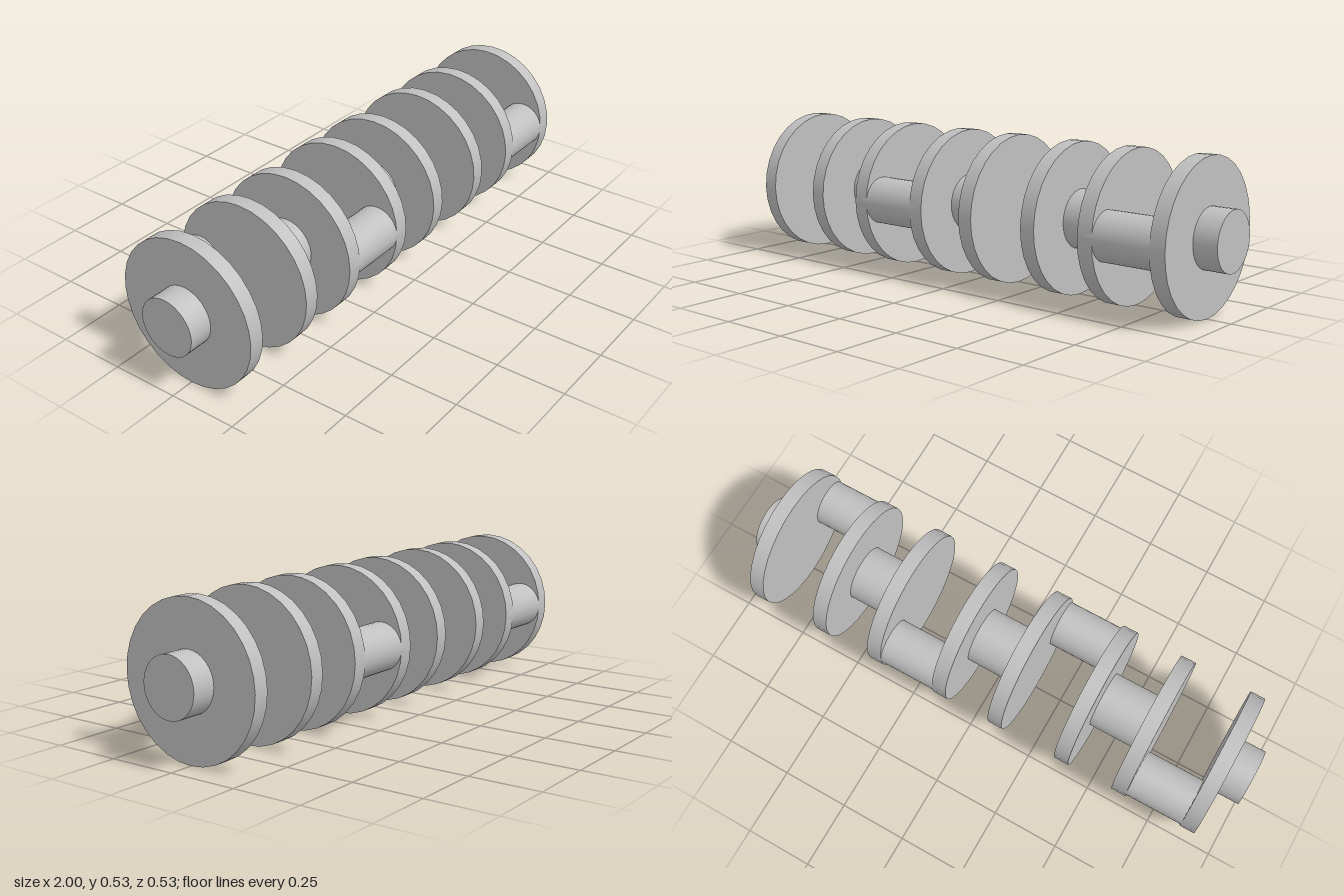
import * as THREE from 'three';

export function createModel() {
  const group = new THREE.Group();
  const steel = new THREE.MeshStandardMaterial({ color: 0xc0c0c0 });
  steel.name = 'steel grey';

  const webRadius = 0.267, webThickness = 0.056, axisY = webRadius;
  const journalRadius = 0.104, pinRadius = 0.086;

  // Cylinder lying along x from x0 to x1
  function rod(name, radius, x0, x1, z = 0) {
    const geometry = new THREE.CylinderGeometry(radius, radius, x1 - x0, 32);
    geometry.rotateZ(-Math.PI / 2);
    const mesh = new THREE.Mesh(geometry, steel);
    mesh.name = name;
    mesh.position.set((x0 + x1) / 2, axisY, z);
    group.add(mesh);
  }

  // Disc webs
  const webs = [-0.885, -0.615, -0.385, -0.115, 0.115, 0.385, 0.615, 0.885];
  webs.forEach((x, i) => rod(`web${i + 1}`, webRadius, x - webThickness / 2, x + webThickness / 2));

  // Main journals on the axis, reaching into the webs
  const ends = [-1, ...webs, 1];
  for (let i = 0; i < ends.length; i += 2) {
    rod(`mainJournal${i / 2 + 1}`, journalRadius, ends[i], ends[i + 1]);
  }

  // Crank pins, alternately behind and in front of the axis
  const offset = webRadius - pinRadius;
  for (let i = 0; i < 4; i++) {
    rod(`crankPin${i + 1}`, pinRadius, webs[2 * i], webs[2 * i + 1], i % 2 ? offset : -offset);
  }
  return group;
}
